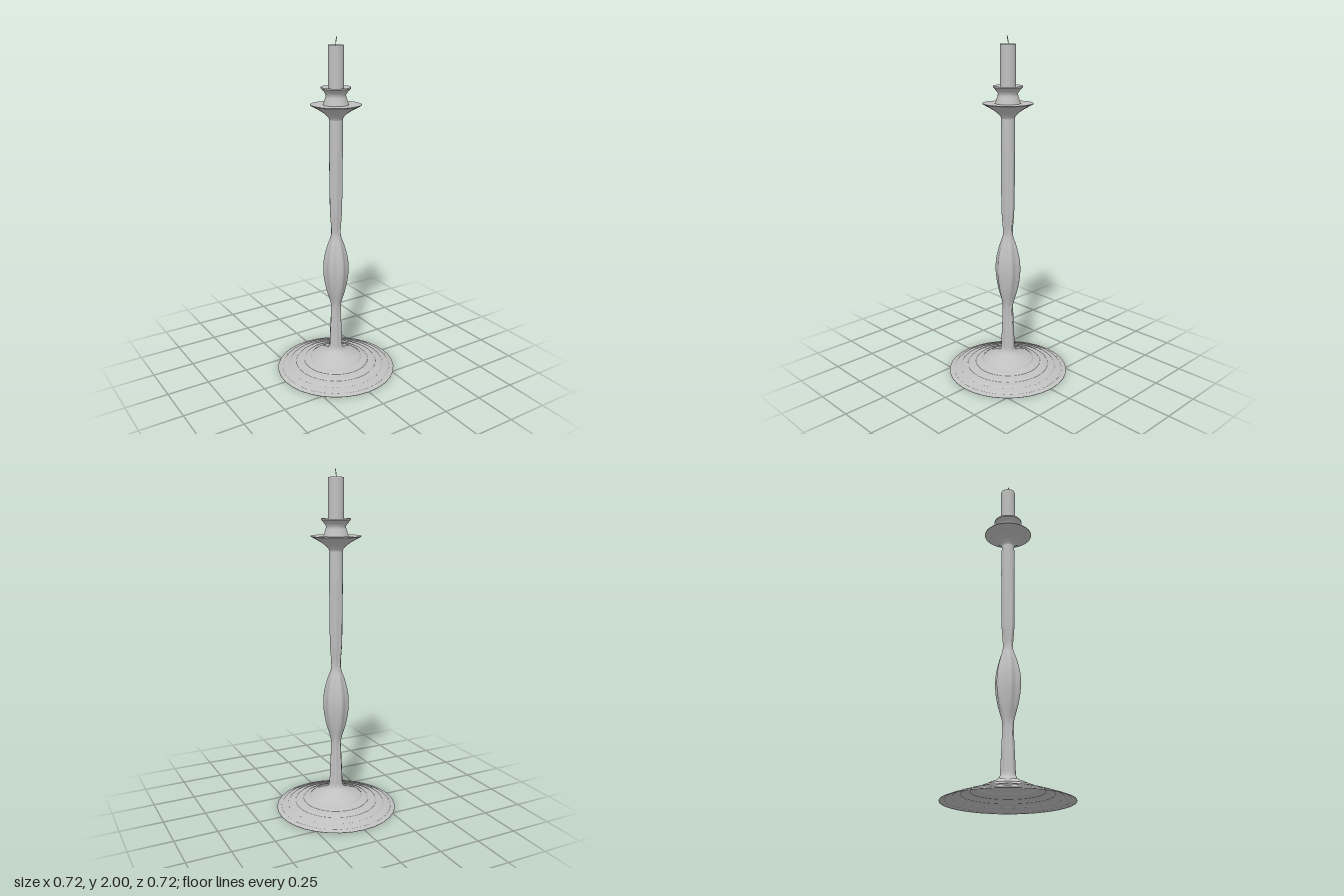
import * as THREE from 'three';

const metal = new THREE.MeshStandardMaterial({ color: 0xc0c0c0, side: THREE.DoubleSide });
metal.name = 'plain grey';

// Turned part from [radius, height] pairs; repeat a pair for a sharp edge
function turned(name, profile, segments = 32) {
  const points = profile.map(([r, y]) => new THREE.Vector2(r, y));
  const mesh = new THREE.Mesh(new THREE.LatheGeometry(points, segments), metal);
  mesh.name = name;
  return mesh;
}

// Fluted stem: [height, mean radius, lobe depth]; a negative depth turns the lobes by half a step
function flutedStem(levels) {
  const curve = new THREE.CatmullRomCurve3(
    levels.map(([y, r, d]) => new THREE.Vector3(r, y, d * 0.2)), false, 'centripetal');
  const samples = curve.getPoints(70);
  const segments = 72;
  const geometry = new THREE.LatheGeometry(samples.map(p => new THREE.Vector2(p.x, p.y)), segments);
  const pos = geometry.attributes.position;
  for (let i = 0; i < pos.count; i++) {
    const depth = samples[i % samples.length].z / 0.2;
    const angle = Math.floor(i / samples.length) / segments * Math.PI * 2;
    const k = 1 + depth * Math.cos(6 * angle);
    pos.setXYZ(i, pos.getX(i) * k, pos.getY(i), pos.getZ(i) * k);
  }
  geometry.computeVertexNormals();
  const mesh = new THREE.Mesh(geometry, metal);
  mesh.name = 'flutedStem';
  return mesh;
}

export function createModel() {
  const group = new THREE.Group();
  group.name = 'candlestick';

  // Hollow foot: stepped rings, then a dome sweeping up to the stem
  const foot = [[0.36, 0], [0.36, 0.004]];
  const rings = [[0.333, 0.31], [0.292, 0.27], [0.247, 0.225], [0.198, 0.175], [0.158, 0.147]];
  rings.forEach(([outer, inner], i) => {
    const y = 0.01 + i * 0.0145;
    foot.push([outer, y], [outer, y], [outer - 0.006, y + 0.007], [inner, y + 0.01], [inner, y + 0.01]);
  });
  foot.push([0.13, 0.084], [0.1, 0.098], [0.07, 0.111], [0.052, 0.122], [0.043, 0.137], [0.041, 0.155]);
  group.add(turned('foot', foot));

  // Stem with its swelling in the middle
  group.add(flutedStem([
    [0.135, 0.041, -0.05], [0.25, 0.036, -0.06], [0.4, 0.03, -0.08], [0.44, 0.034, 0],
    [0.52, 0.054, 0.06], [0.6, 0.067, 0.08], [0.66, 0.07, 0.08], [0.72, 0.066, 0.08],
    [0.8, 0.049, 0.06], [0.86, 0.031, 0], [0.9, 0.028, -0.08], [1.0, 0.035, -0.06],
    [1.15, 0.038, -0.05], [1.38, 0.04, -0.03],
  ]));
  group.add(turned('upperStem', [[0.04, 1.375], [0.04, 1.45], [0.038, 1.56]]));

  // Drip pan
  group.add(turned('dripPan', [
    [0.038, 1.55], [0.042, 1.563], [0.06, 1.582], [0.085, 1.6], [0.115, 1.617], [0.143, 1.632],
    [0.143, 1.632], [0.143, 1.636], [0.143, 1.636], [0.1, 1.631], [0.05, 1.636],
  ]));

  // Socket with a flared rim and a hollow mouth
  group.add(turned('candleSocket', [
    [0.072, 1.632], [0.067, 1.65], [0.058, 1.675], [0.056, 1.69], [0.066, 1.705], [0.084, 1.724],
    [0.084, 1.724], [0.084, 1.732], [0.084, 1.732], [0.072, 1.726], [0.055, 1.71], [0.043, 1.69],
  ]));

  // Candle with a hollowed top
  group.add(turned('candle', [
    [0.044, 1.64], [0.044, 1.953], [0.044, 1.953], [0.042, 1.957], [0.042, 1.957], [0.001, 1.93],
  ]));

  // Wick
  const wickPath = new THREE.CatmullRomCurve3([
    new THREE.Vector3(0, 1.93, 0), new THREE.Vector3(0, 1.97, -0.002),
    new THREE.Vector3(0, 1.985, 0.003), new THREE.Vector3(0, 2.0, 0.006),
  ]);
  const wick = new THREE.Mesh(new THREE.TubeGeometry(wickPath, 8, 0.0025, 6), metal);
  wick.name = 'wick';
  group.add(wick);

  return group;
}
